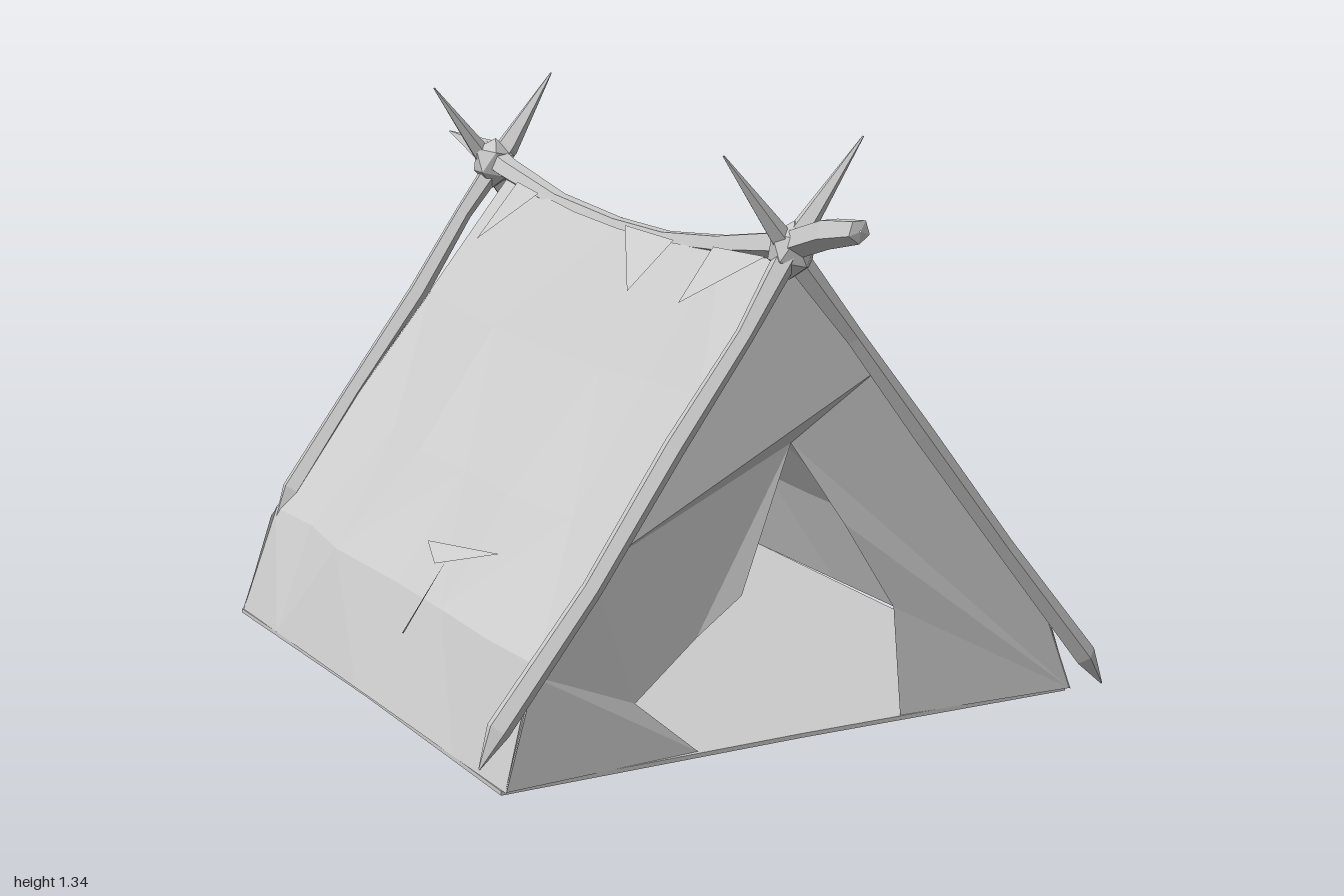
import * as THREE from 'three';

const V = (x, y, z) => new THREE.Vector3(x, y, z);
const cloth = new THREE.MeshStandardMaterial({ color: 0xcccccc, flatShading: true, side: THREE.DoubleSide });
const wood = new THREE.MeshStandardMaterial({ color: 0xcccccc, flatShading: true });

// Repeatable unevenness in -1..1
function wobble(a, b) {
  const s = Math.sin(a * 12.99 + b * 78.23) * 4375.85;
  return (s - Math.floor(s)) * 2 - 1;
}

function addMesh(group, name, geometry, material) {
  const mesh = new THREE.Mesh(geometry, material);
  mesh.name = name;
  group.add(mesh);
}

// Crooked five-sided branch: each stop is [x, y, z, radius]
function branch(stops) {
  const geo = new THREE.CylinderGeometry(1, 1, 1, 5, stops.length - 1, true);
  const first = V(...stops[0]), last = V(...stops[stops.length - 1]);
  const turn = new THREE.Quaternion().setFromUnitVectors(V(0, 1, 0), first.sub(last).normalize());
  const pos = geo.attributes.position;
  for (let i = 0; i < pos.count; i++) {
    const [x, y, z, r] = stops[Math.floor(i / 6)];
    const p = V(pos.getX(i), 0, pos.getZ(i)).multiplyScalar(r).applyQuaternion(turn);
    pos.setXYZ(i, p.x + x, p.y + y, p.z + z);
  }
  geo.computeVertexNormals();
  return geo;
}

// Pole from its foot to its pointed top, with slight bends
function pole(foot, top, seed) {
  const radii = [0.002, 0.028, 0.024, 0.026, 0.022, 0.03, 0.002];
  const steps = [0, 0.06, 0.28, 0.5, 0.68, 0.83, 1];
  return branch(steps.map((t, i) => {
    const p = V(...foot).lerp(V(...top), t);
    const bend = i > 0 && i < 6 ? 0.008 : 0;
    return [p.x + bend * wobble(i, seed), p.y, p.z + bend * wobble(seed, i), radii[i]];
  }));
}

// Half width of the tent at height y
function halfWidth(y) {
  return y < 0.25 ? 0.73 - 0.3 * y : 0.655 - (y - 0.25) * 0.785;
}

// Point on a side wall: u along the length (-1..1)
function wallPoint(side, u, y, lift = 0) {
  return V(-0.015 + side * (Math.max(halfWidth(y), 0.015) + lift), y + lift * 0.7, u * (0.76 - 0.09 * y));
}

// Draped wall; notches lower the top edge at a column to leave a gap under the ridge
function wall(side, columns, notches) {
  const rows = [0.01, 0.25, 0.48, 0.74, 1];
  const n = columns.length, pts = [], index = [];
  rows.forEach((v, r) => columns.forEach((u, c) => {
    const ridge = 1.035 + 0.04 * u * u;
    let y = r === 0 ? 0.01 : v * ridge;
    if (r === 4 && notches[c]) y = notches[c];
    const inner = r > 0 && r < 4;
    const edge = c === 0 || c === n - 1;
    const p = wallPoint(side, u + (inner && !edge ? 0.07 * wobble(c + side, r) : 0), y);
    if (inner) p.x += side * (edge ? 0 : 0.016 * wobble(r + side, c) - 0.012);
    pts.push(p);
  }));
  for (let r = 0; r < 4; r++) {
    for (let c = 0; c < n - 1; c++) {
      const a = r * n + c, b = a + 1, d = a + n, e = d + 1;
      if ((r + c) % 2) index.push(a, b, e, a, e, d);
      else index.push(a, b, d, b, e, d);
    }
  }
  const geo = new THREE.BufferGeometry().setFromPoints(pts);
  geo.setIndex(index);
  geo.computeVertexNormals();
  return geo;
}

// End cloth with a doorway, leaning inwards towards the ridge
function endPanel(side, door) {
  const left = [0.01, 0.25, 0.45, 0.62, 0.8, 0.93].map(y => [-0.015 - halfWidth(y), y]);
  const right = left.map(([x, y]) => [-0.03 - x, y]).reverse();
  const outline = [...left, [-0.02, 1.06], ...right, ...door];
  const geo = new THREE.ShapeGeometry(new THREE.Shape(outline.map(p => new THREE.Vector2(...p))));
  const pos = geo.attributes.position;
  for (let i = 0; i < pos.count; i++) {
    const x = pos.getX(i), y = pos.getY(i);
    const onDoor = Math.abs(x) < halfWidth(y) - 0.05;
    pos.setZ(i, side * (0.755 - 0.09 * y - (onDoor ? 0.02 + 0.015 * wobble(x, y) : 0)));
  }
  geo.computeVertexNormals();
  return geo;
}

// Small loose triangle of cloth, corners given as [u, y, lift]
function flap(side, corners) {
  const geo = new THREE.BufferGeometry().setFromPoints(corners.map(c => wallPoint(side, ...c)));
  geo.computeVertexNormals();
  return geo;
}

export function createModel() {
  const tent = new THREE.Group();
  tent.name = 'tent';

  // Ground sheet
  const floor = new THREE.Shape([[-0.745, -0.74], [0, -0.73], [0.71, -0.74], [0.7, 0], [0.715, 0.77], [0, 0.77], [-0.745, 0.76], [-0.735, 0]]
    .map(p => new THREE.Vector2(...p)));
  const floorGeo = new THREE.ExtrudeGeometry(floor, { depth: 0.01, bevelEnabled: false });
  floorGeo.rotateX(-Math.PI / 2);
  addMesh(tent, 'groundSheet', floorGeo, cloth);

  // Side walls
  addMesh(tent, 'leftWall', wall(1, [-1, -0.93, -0.64, -0.36, 0, 0.28, 0.6, 1], { 2: 0.87 }), cloth);
  addMesh(tent, 'rightWall', wall(-1, [-1, -0.7, -0.4, -0.05, 0.3, 0.65, 1], {}), cloth);

  // End panels, doorways listed from right to left
  addMesh(tent, 'frontPanel', endPanel(1, [[0.26, 0.01], [0.25, 0.26], [0.12, 0.47], [0, 0.66],
    [-0.14, 0.34], [-0.25, 0.26], [-0.41, 0.14], [-0.26, 0.01]]), cloth);
  addMesh(tent, 'backPanel', endPanel(-1, [[0.5, 0.01], [0.26, 0.03], [0.25, 0.26], [0.07, 0.56], [-0.03, 0.59],
    [-0.14, 0.34], [-0.25, 0.26], [-0.26, 0.045], [-0.5, 0.01]]), cloth);

  // Loose folds and tears in the cloth
  const folds = [
    [-1, [-0.85, 1.06, 0.02], [-0.65, 1.05, 0.02], [-0.82, 0.92, 0.03]],
    [-1, [0.05, 1.04, 0.02], [0.4, 1.04, 0.02], [0.35, 0.92, 0.03]],
    [-1, [0.65, 1.05, 0.02], [0.97, 1.06, 0.02], [0.68, 0.93, 0.03]],
    [-1, [0.07, 0.36, 0.01], [0.53, 0.4, 0.02], [0.25, 0.33, 0.03]],
    [-1, [0.2, 0.18, 0.01], [0.25, 0.18, 0.03], [0.24, 0.36, 0.01]],
    [1, [0.35, 0.87, 0.005], [0.38, 0.77, 0.015], [0.58, 0.77, 0.005]],
    [1, [-0.85, 0.46, 0.005], [-0.98, 0.3, 0.03], [-1, 0.42, 0.01]]
  ];
  folds.forEach(([side, ...corners]) => addMesh(tent, 'clothFold', flap(side, corners), cloth));

  // Crossed poles at both ends
  addMesh(tent, 'frontRightPole', pole([-0.8, 0.07, 0.75], [0.13, 1.335, 0.74], 1), wood);
  addMesh(tent, 'frontLeftPole', pole([0.8, 0.01, 0.76], [-0.21, 1.315, 0.73], 2), wood);
  addMesh(tent, 'backRightPole', pole([-0.66, 0.25, -0.72], [0.13, 1.32, -0.74], 3), wood);
  addMesh(tent, 'backLeftPole', pole([0.76, 0.01, -0.775], [-0.2, 1.3, -0.74], 4), wood);

  // Sagging ridge pole, blunt in front and pointed behind
  addMesh(tent, 'ridgePole', branch([
    [-0.04, 1.18, 1, 0.002], [-0.04, 1.18, 0.995, 0.027], [-0.04, 1.16, 0.88, 0.035], [-0.035, 1.11, 0.72, 0.035],
    [-0.025, 1.06, 0.4, 0.026], [-0.025, 1.035, 0.15, 0.022], [-0.02, 1.03, -0.1, 0.022], [-0.02, 1.045, -0.4, 0.024],
    [-0.03, 1.09, -0.66, 0.03], [-0.035, 1.12, -0.78, 0.036], [-0.04, 1.15, -0.995, 0.002]]), wood);

  // Lashings where the poles cross
  for (const z of [0.73, -0.73]) {
    const knot = new THREE.IcosahedronGeometry(0.06, 0);
    knot.scale(0.95, 1.1, 0.8);
    knot.rotateZ(0.4);
    knot.translate(-0.04, 1.1, z);
    addMesh(tent, z > 0 ? 'frontLashing' : 'backLashing', knot, wood);
  }
  return tent;
}
